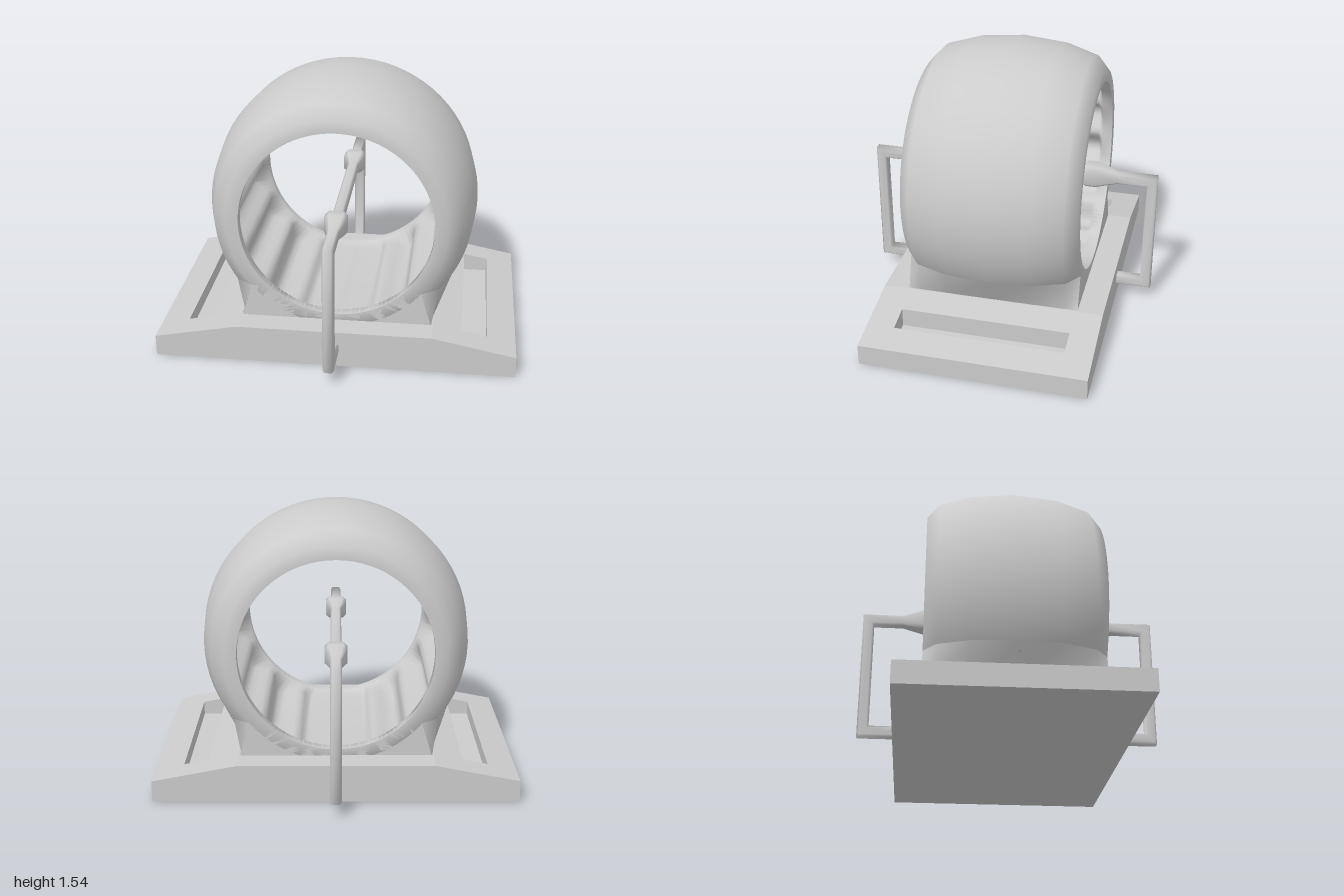
import * as THREE from 'three';

const material = new THREE.MeshStandardMaterial({ color: 0xcccccc });
const thin = new THREE.MeshStandardMaterial({ color: 0xcccccc, side: THREE.DoubleSide });

const CY = 0.78;        // height of the drum axis
const INNER = 0.535;    // drum opening radius
const HALF = 0.487;     // half depth of the drum
const LIP = 0.43;       // where the ribbed bore starts
const TOP = 0.21;       // height of the base top
// outer drum profile: radius, z
const PROFILE = [[0.605, -HALF], [0.68, -0.42], [0.735, -0.24], [0.757, 0],
  [0.735, 0.24], [0.68, 0.42], [0.605, HALF]];

function mesh(name, geometry, mat = material) {
  const m = new THREE.Mesh(geometry, mat);
  m.name = name;
  return m;
}

// Skin over a row of cross-sections with equal point counts
function loft(sections, closed) {
  const n = sections[0].length, index = [];
  for (let i = 0; i < sections.length - 1; i++) {
    for (let j = 0; j < (closed ? n : n - 1); j++) {
      const k = (j + 1) % n;
      const a = i * n + j, b = i * n + k, c = a + n, d = b + n;
      index.push(a, b, d, a, d, c);
    }
  }
  const g = new THREE.BufferGeometry();
  g.setAttribute('position', new THREE.Float32BufferAttribute(sections.flat(2), 3));
  g.setIndex(index);
  g.computeVertexNormals();
  return g;
}

function extrude(shape, z0, z1) {
  const g = new THREE.ExtrudeGeometry(shape, { depth: z1 - z0, bevelEnabled: false, curveSegments: 24 });
  return g.translate(0, 0, z0);
}

// Wedge-sided base; the middle section is notched for the two long slots
function makeBase() {
  const base = new THREE.Group();
  base.name = 'base';
  const slope = x => TOP - 0.09 * (x - 0.54) / 0.46;
  const half = [[1, 0], [1, 0.12], [0.54, TOP]];
  const floor = 0.07;
  const notched = [[1, 0], [1, 0.12], [0.84, slope(0.84)], [0.84, floor],
    [0.7, floor], [0.7, slope(0.7)], [0.54, TOP]];
  const outline = pts => new THREE.Shape(
    [...pts, ...pts.map(([x, y]) => [-x, y]).reverse()].map(p => new THREE.Vector2(...p)));
  base.add(mesh('baseFront', extrude(outline(half), 0.475, 0.63)));
  base.add(mesh('baseMiddle', extrude(outline(notched), -0.475, 0.475)));
  base.add(mesh('baseBack', extrude(outline(half), -0.63, -0.475)));
  return base;
}

// Barrel-shaped open drum: soft rims outside, lengthwise ribs inside
function makeDrum() {
  const drum = new THREE.Group();
  drum.name = 'drum';
  const outer = [[INNER, -HALF], ...PROFILE, [INNER, HALF]];
  const shell = new THREE.LatheGeometry(outer.map(p => new THREE.Vector2(...p)), 72);
  drum.add(mesh('drumShell', shell.rotateX(Math.PI / 2).translate(0, CY, 0)));

  const steps = 128;
  const ring = (z, base, rib) => Array.from({ length: steps }, (_, i) => {
    const t = i / steps * Math.PI * 2;
    const r = base + rib * (0.5 - 0.5 * Math.cos(16 * t));
    return [r * Math.cos(t), Math.max(TOP + 0.005, CY + r * Math.sin(t)), z];
  });
  const bore = [ring(HALF, INNER, 0), ring(LIP, INNER, 0), ring(LIP - 0.03, 0.56, 0.08),
    ring(0.03 - LIP, 0.56, 0.08), ring(-LIP, INNER, 0), ring(-HALF, INNER, 0)];
  drum.add(mesh('drumBore', loft(bore, true)));
  return drum;
}

// Foot that spreads the drum onto the base
function makeFoot() {
  const foot = new THREE.Group();
  foot.name = 'foot';
  const y = 0.4, drop = CY - y;
  const topX = r => Math.sqrt(r * r - drop * drop);
  const a = Math.asin(drop / INNER);
  const shape = new THREE.Shape();
  shape.moveTo(-0.53, TOP - 0.01);
  shape.lineTo(0.53, TOP - 0.01);
  shape.lineTo(topX(0.605), y);
  shape.lineTo(topX(INNER), y);
  shape.absarc(0, CY, INNER, -a, -Math.PI + a, true);
  shape.lineTo(-topX(0.605), y);
  foot.add(mesh('footFront', extrude(shape, LIP, HALF)));
  foot.add(mesh('footBack', extrude(shape, -HALF, -LIP)));
  for (const s of [1, -1]) {
    const upper = PROFILE.map(([r, z]) => [s * topX(r), y, z]);
    const lower = PROFILE.map(([, z]) => [s * 0.53, TOP - 0.005, z]);
    foot.add(mesh('footSide', loft(s > 0 ? [upper, lower] : [lower, upper], false), thin));
  }
  return foot;
}

// Axle with hubs and bent end brackets, one bevelled square bar
function makeAxle() {
  const axis = 0.783, low = 0.11, end = 0.8, w = 0.031;
  // z, y, mitre direction in z and y, half width
  const front = [
    [0.58, low, 0, 1, w], [end, low, -1, 1, w], [end, axis, -1, -1, w],
    [0.605, axis, 0, -1, w], [0.485, 0.788, 0, -1, 0.062],
    [0.43, 0.788, 0, -1, 0.062], [0.36, axis, 0, -1, w]];
  const back = front.map(([z, y, nz, ny, h]) => [-z, y, -nz, ny, h]).reverse();
  const c = 0.65;
  const section = [[1, -c], [1, c], [c, 1], [-c, 1], [-1, c], [-1, -c], [-c, -1], [c, -1]];
  const rings = [...front, ...back].map(([z, y, nz, ny, h]) =>
    section.map(([u, v]) => [u * h, y + v * h * ny, z + v * h * nz]));
  return mesh('axle', loft(rings, true));
}

export function createModel() {
  const model = new THREE.Group();
  model.name = 'drumOnStand';
  model.add(makeBase(), makeDrum(), makeFoot(), makeAxle());
  return model;
}
